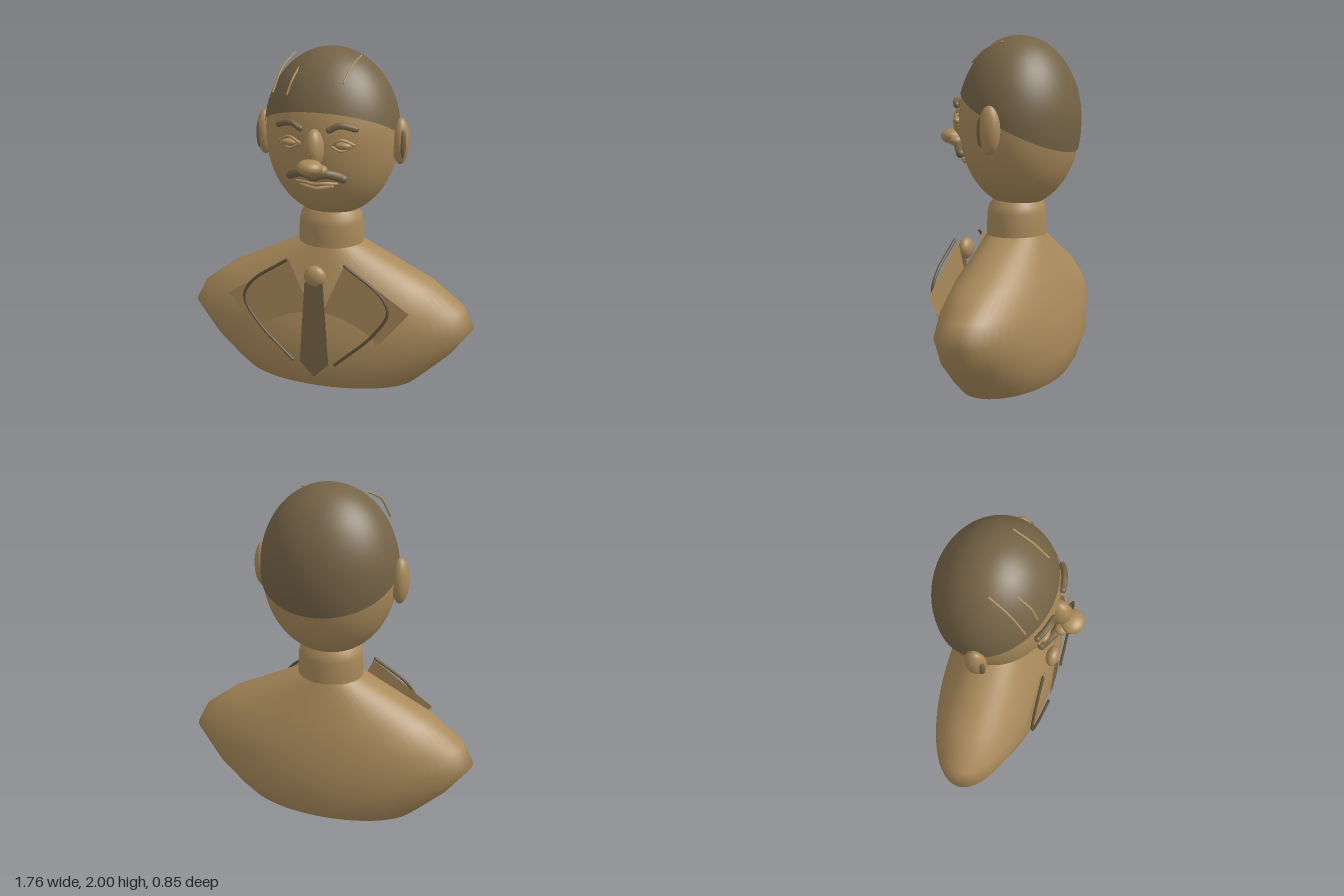
import * as THREE from 'three';
import { mergeVertices } from 'three/addons/utils/BufferGeometryUtils.js';

const mat = (name, color, extra = {}) => new THREE.MeshStandardMaterial({ name, color, ...extra });
const V = (p) => new THREE.Vector3(...p);

// Smooth skin over rings; fn(row, angle) gives a point, angle 0 faces the front
function loft(rows, segs, fn) {
  const pos = [], idx = [], w = segs + 1;
  for (let i = 0; i <= rows; i++)
    for (let j = 0; j <= segs; j++) pos.push(...fn(i, ((j % segs) / segs) * Math.PI * 2));
  for (let i = 0; i < rows; i++)
    for (let j = 0; j < segs; j++) {
      const a = i * w + j;
      idx.push(a, a + 1, a + w + 1, a, a + w + 1, a + w);
    }
  let g = new THREE.BufferGeometry();
  g.setAttribute('position', new THREE.Float32BufferAttribute(pos, 3));
  g.setIndex(idx);
  g = mergeVertices(g, 1e-5);
  g.computeVertexNormals();
  return g;
}

// Head outline: half width at height y
const BASE = 1.01, MID = 1.52;
function headRadius(y, top) {
  const u = y > MID ? (y - MID) / (top - MID) : (MID - y) / (MID - BASE);
  return 0.39 * Math.sqrt(Math.max(0, 1 - Math.pow(u, y > MID ? 2 : 2.2)));
}
function headPoint(y, a, top, grow) {
  const r = headRadius(y, top) * grow;
  return [r * Math.sin(a), y, -0.075 + r * 0.885 * Math.cos(a)];
}

export function createModel() {
  const root = new THREE.Group();
  const bronze = mat('bronze', 0xa8895a);
  const bronzeSheet = mat('bronze sheet', 0xa8895a, { side: THREE.DoubleSide });
  const dark = mat('dark bronze', 0x746346);
  const darkSheet = mat('dark bronze sheet', 0x746346, { side: THREE.DoubleSide });
  const deep = mat('deep bronze', 0x605139);

  const add = (name, geo, m) => {
    const mesh = new THREE.Mesh(geo, m);
    mesh.name = name;
    root.add(mesh);
    return mesh;
  };
  const ball = (name, c, r, m = bronze) => {
    const b = add(name, new THREE.SphereGeometry(1, 28, 20), m);
    b.position.set(...c);
    b.scale.set(...r);
    return b;
  };
  // Tube with round ends, optionally squashed in height around its start
  const tube = (name, pts, r, m) => {
    const curve = new THREE.CatmullRomCurve3(pts.map(V));
    add(name, new THREE.TubeGeometry(curve, 28, r, 8), m);
    for (const p of [pts[0], pts[pts.length - 1]]) ball(name + 'End', p, [r, r, r], m);
  };
  const plate = (name, pts, z, m) => {
    const s = new THREE.Shape(pts.map(([x, y]) => new THREE.Vector2(x, y)));
    add(name, new THREE.ShapeGeometry(s).translate(0, 0, z), m);
  };

  // Torso, open underneath: height, half width, half depth
  const rings = [
    [0, 0.54, 0.275], [0.07, 0.615, 0.318], [0.2, 0.75, 0.352], [0.37, 0.88, 0.33],
    [0.49, 0.82, 0.305], [0.63, 0.64, 0.263], [0.85, 0.19, 0.172],
  ];
  add('torso', loft(rings.length - 1, 64, (i, a) => {
    const [y, w, d] = rings[i];
    return [w * Math.sin(a), y, -0.057 + d * Math.cos(a)];
  }), bronzeSheet);

  // Neck
  const neckRings = [[0.84, 0.194], [0.9, 0.194], [0.98, 0.19], [1.02, 0.18], [1.06, 0.15]];
  add('neck', loft(4, 48, (i, a) => {
    const [y, r] = neckRings[i];
    return [r * Math.sin(a), y, -0.057 + r * 0.89 * Math.cos(a)];
  }), bronze);

  // Head and hair cap with a hairline sloping down to the back
  add('head', loft(40, 56, (i, a) => {
    const y = (BASE + 1.99) / 2 - ((1.99 - BASE) / 2) * Math.cos((i / 40) * Math.PI);
    return headPoint(y, a, 1.99, 1);
  }), bronze);
  add('hair', loft(24, 64, (i, a) => {
    let y = MID;
    for (let k = 0; k < 25; k++) y = 1.555 + 0.525 * headPoint(y, a, 2, 1.018)[2];
    return headPoint(y + (2 - y) * Math.sin((i / 24) * Math.PI / 2), a, 2, 1.018);
  }), darkSheet);

  // Loose strands on the hair
  tube('hairStrand', [[-0.275, 1.77, 0.17], [-0.25, 1.89, 0.08], [-0.215, 1.96, -0.04]], 0.006, bronze);
  tube('hairStrand', [[-0.18, 1.77, 0.205], [-0.163, 1.84, 0.165], [-0.147, 1.9, 0.09]], 0.006, bronze);
  tube('hairStrand', [[0.135, 1.845, 0.165], [0.155, 1.92, 0.07], [0.178, 1.96, -0.04]], 0.006, bronze);

  // Nose
  ball('noseBridge', [0, 1.49, 0.28], [0.056, 0.112, 0.07]);
  ball('noseTip', [0, 1.405, 0.36], [0.073, 0.045, 0.068]);

  for (const s of [-1, 1]) {
    const mir = (pts) => pts.map(([x, y, z]) => [x * s, y, z]);

    ball('nostril', [0.05 * s, 1.382, 0.315], [0.038, 0.03, 0.038]);

    // Ears
    ball('ear', [0.41 * s, 1.48, -0.062], [0.05, 0.135, 0.063]);
    ball('innerEar', [0.433 * s, 1.475, -0.02], [0.017, 0.085, 0.022], dark);

    // Eyes with lids
    ball('eye', [0.153 * s, 1.512, 0.245], [0.05, 0.022, 0.03]);
    tube('upperLid', mir([[0.092, 1.515, 0.263], [0.15, 1.545, 0.26], [0.215, 1.515, 0.232]]), 0.009, bronze);
    tube('lowerLid', mir([[0.092, 1.508, 0.263], [0.15, 1.482, 0.26], [0.21, 1.508, 0.232]]), 0.008, bronze);

    // Brows and moustache halves
    tube('eyebrow', mir([[0.085, 1.6, 0.27], [0.135, 1.625, 0.262], [0.18, 1.62, 0.247], [0.222, 1.604, 0.225]]), 0.018, dark);
    tube('moustache', mir([[0.01, 1.335, 0.295], [0.06, 1.352, 0.29], [0.11, 1.342, 0.265], [0.155, 1.318, 0.235]]), 0.025, dark);

    // Lapel with its edge piping
    plate('lapel', [[0.17, 0.81], [0.55, 0.55], [0.39, 0.35], [0.13, 0.2], [0.02, 0.46]]
      .map(([x, y]) => [x * s, y]), 0.247, bronzeSheet);
    tube('lapelEdge', mir([
      [0.175, 0.81, 0.265], [0.39, 0.655, 0.277], [0.435, 0.555, 0.284], [0.35, 0.41, 0.294], [0.13, 0.2, 0.308],
    ]), 0.009, deep);
  }

  // Lips
  tube('upperLip', [[-0.115, 1.285, 0.235], [-0.05, 1.291, 0.268], [0, 1.286, 0.275], [0.05, 1.291, 0.268], [0.115, 1.285, 0.235]], 0.01, bronze);
  tube('lowerLip', [[-0.09, 1.27, 0.24], [0, 1.26, 0.27], [0.09, 1.27, 0.24]], 0.012, bronze);

  // Tie
  ball('tieKnot', [0, 0.73, 0.275], [0.065, 0.065, 0.042]);
  plate('tie', [[-0.055, 0.7], [-0.088, 0.19], [0, 0.1], [0.088, 0.19], [0.055, 0.7]], 0.302, darkSheet);

  return root;
}
